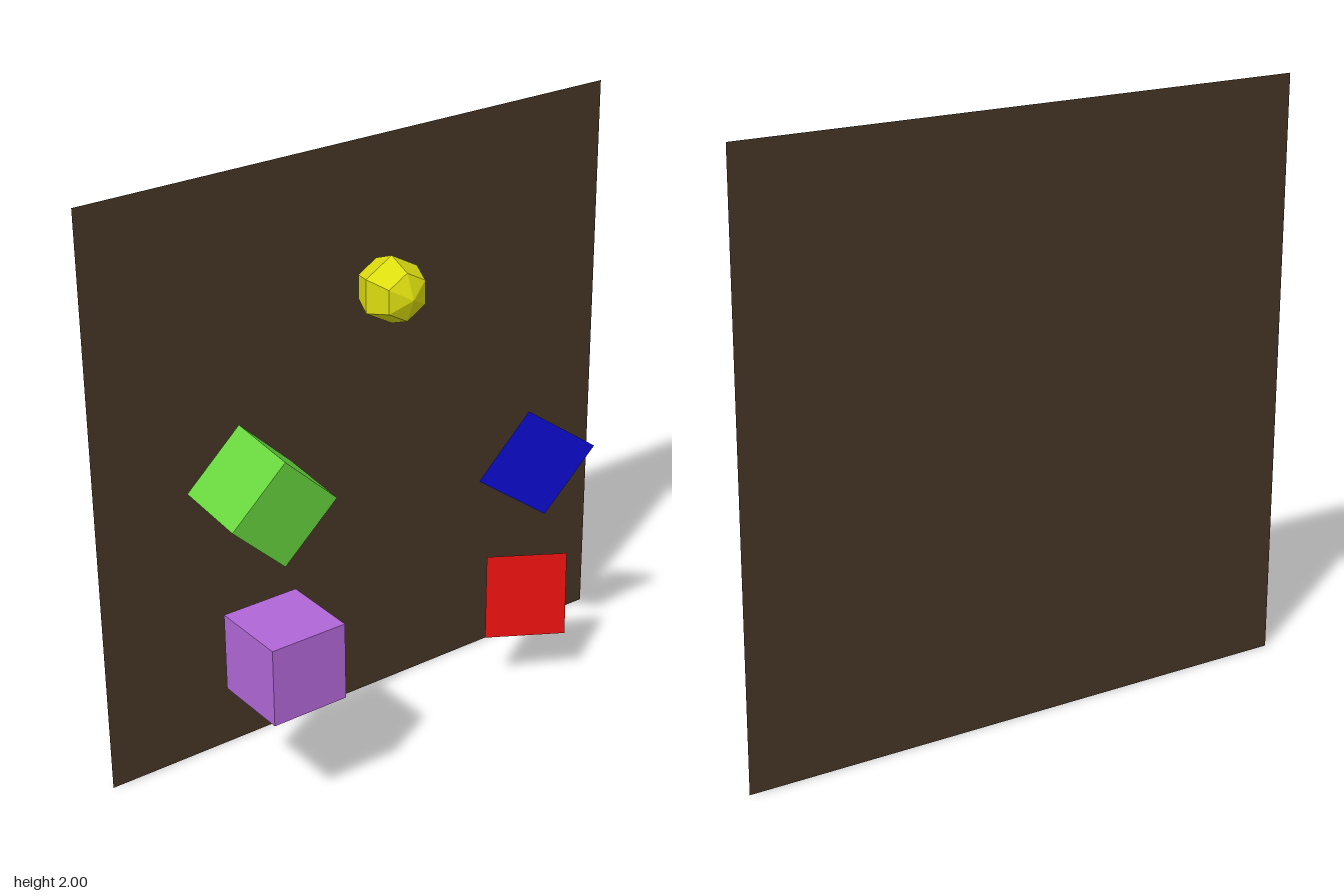
import * as THREE from 'three';

const material = (name, color, extra = {}) => {
  const m = new THREE.MeshStandardMaterial({ color, ...extra });
  m.name = name;
  return m;
};

export function createModel() {
  const model = new THREE.Group();
  model.name = 'wallWithShapes';

  const add = (name, geometry, mat, position = [0, 0, 0], rotation = [0, 0, 0]) => {
    const mesh = new THREE.Mesh(geometry, mat);
    mesh.name = name;
    mesh.position.set(...position);
    mesh.rotation.set(...rotation);
    model.add(mesh);
  };

  // Flat square sheet from its centre and its half-diagonals to the upper and right corners
  const sheet = (name, mat, centre, up, right) => {
    const c = new THREE.Vector3(...centre);
    const u = new THREE.Vector3(...up);
    const r = new THREE.Vector3(...right);
    const geometry = new THREE.PlaneGeometry(1, 1);
    const corners = [c.clone().add(u), c.clone().add(r), c.clone().sub(r), c.clone().sub(u)];
    corners.forEach((p, i) => geometry.attributes.position.setXYZ(i, p.x, p.y, p.z));
    geometry.computeVertexNormals();
    add(name, geometry, mat);
  };

  const doubleSided = { side: THREE.DoubleSide };
  const brown = material('dark brown', 0x443624, doubleSided);
  const purple = material('purple', 0xb066d6);
  const green = material('green', 0x68d63e);
  const yellow = material('yellow', 0xdcdc10, { flatShading: true });
  const red = material('red', 0xe01010, doubleSided);
  const blue = material('blue', 0x0c0cd0, doubleSided);

  // Backdrop
  add('wall', new THREE.PlaneGeometry(2, 2), brown, [0, 1, -0.268]);

  // Cubes
  add('purpleCube', new THREE.BoxGeometry(0.268, 0.268, 0.268), purple, [-0.582, 0.546, 0.134]);
  add('greenCube', new THREE.BoxGeometry(0.267, 0.267, 0.267), green,
    [-0.526, 1.013, -0.055], [0.072, -0.03, Math.PI / 4 + 0.02]);

  // Six-sided ball with its poles along z
  const ball = new THREE.SphereGeometry(0.113, 6, 4, Math.PI / 6, Math.PI * 2);
  ball.rotateX(Math.PI / 2);
  add('yellowBall', ball, yellow, [-0.037, 1.585, -0.039]);

  // Tilted sheets
  sheet('blueSheet', blue, [0.494, 0.856, 0.053], [-0.041, 0.204, 0], [0.19, 0.037, 0.069]);
  sheet('redSheet', red, [0.484, 0.338, 0.027], [-0.107, 0.149, -0.085], [0.152, 0.13, 0.032]);

  return model;
}
